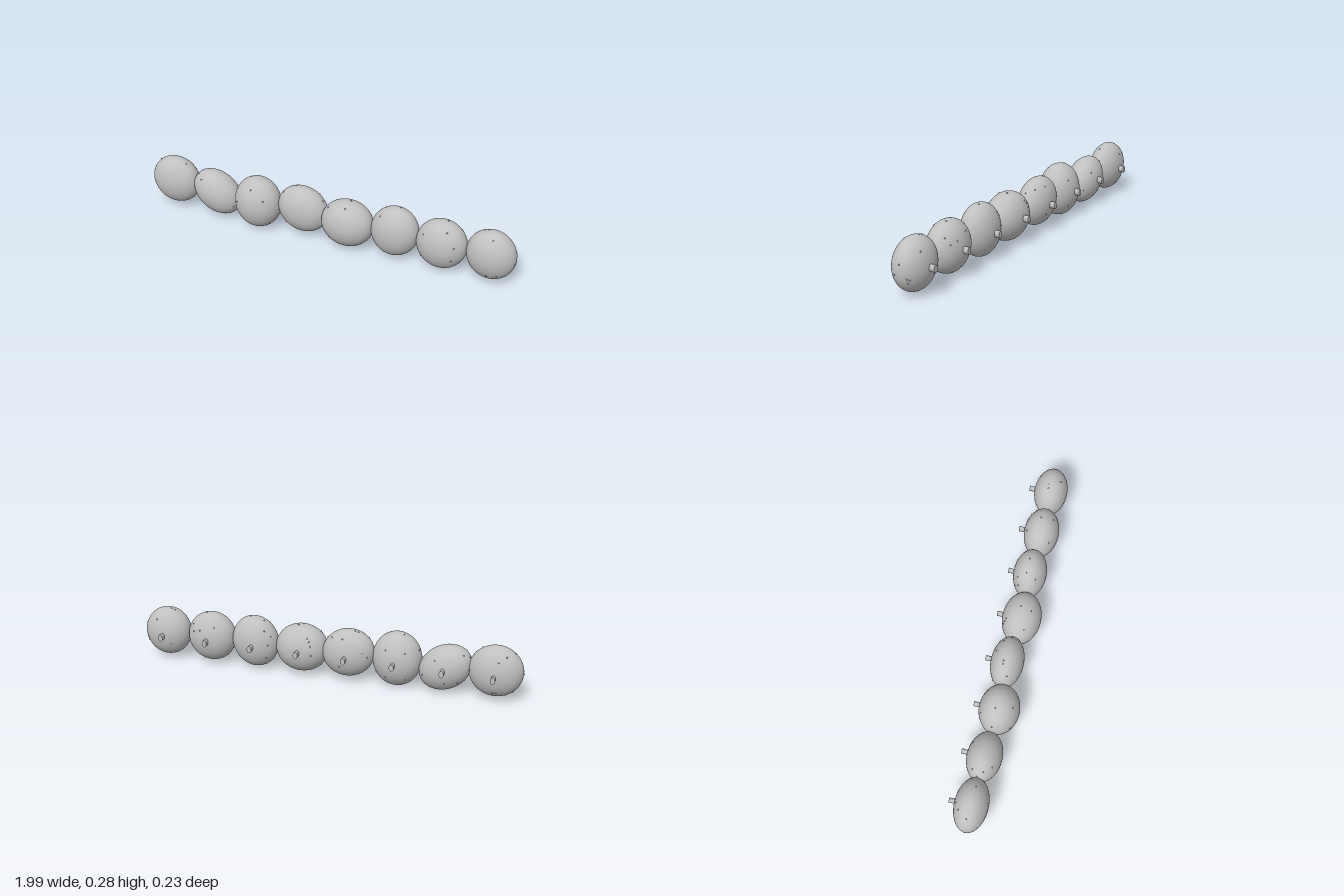
import * as THREE from 'three';

const stoneGrey = new THREE.MeshStandardMaterial({ color: 0xc0c0c0 });
stoneGrey.name = 'stoneGrey';

// Each pebble: centre x, y, half sizes a, b, tilt in degrees, front z, bumps seen from the front [x, y]
const BACK = -0.088;
const PEBBLES = [
  [-0.861, 0.152, 0.134, 0.131, 0, 0.078, [[-0.95, 0.253], [-0.79, 0.262], [-0.995, 0.15], [-0.95, 0.06]]],
  [-0.613, 0.136, 0.140, 0.110, -34, 0.086, [[-0.676, 0.22], [-0.71, 0.23], [-0.63, 0.027], [-0.5, 0.09]]],
  [-0.367, 0.144, 0.125, 0.141, 0, 0.115, [[-0.372, 0.246], [-0.302, 0.198], [-0.452, 0.16], [-0.286, 0.053]]],
  [-0.120, 0.152, 0.136, 0.124, -20, 0.078, [[-0.195, 0.08], [-0.01, 0.22], [-0.22, 0.235]]],
  [0.131, 0.141, 0.137, 0.125, 0, 0.110, [[0.04, 0.225], [0.136, 0.251], [0.243, 0.059], [0.2, 0.05]]],
  [0.379, 0.150, 0.123, 0.136, -10, 0.083, [[0.313, 0.241], [0.437, 0.05], [0.28, 0.06]]],
  [0.623, 0.146, 0.128, 0.131, 0, 0.094, [[0.543, 0.209], [0.532, 0.07], [0.703, 0.176], [0.693, 0.102], [0.66, 0.246]]],
  [0.870, 0.148, 0.123, 0.130, 12, 0.086, [[0.757, 0.134], [0.88, 0.257], [0.869, 0.064], [0.917, 0.07], [0.99, 0.13]]],
];

// Small seeded generator for the bumps on the rims and rear faces
let seed = 7;
const rand = () => (seed = (seed * 16807) % 2147483647) / 2147483647;

export function createModel() {
  const model = new THREE.Group();
  const ball = new THREE.SphereGeometry(1, 64, 40);
  const bumpGeo = new THREE.SphereGeometry(0.0038, 8, 6);
  // Oval peg, slightly wider at its free end
  const pegGeo = new THREE.CylinderGeometry(0.016, 0.019, 0.055, 16).rotateX(Math.PI / 2).scale(0.65, 1, 1);

  const add = (parent, geo, name, x, y, z) => {
    const mesh = new THREE.Mesh(geo, stoneGrey);
    mesh.name = name;
    mesh.position.set(x, y, z);
    parent.add(mesh);
    return mesh;
  };

  PEBBLES.forEach(([x, y, a, b, deg, front, bumps], i) => {
    const unit = new THREE.Group();
    unit.name = 'pebbleUnit' + (i + 1);
    model.add(unit);

    // Flattened, tilted pebble
    const depth = (front - BACK) / 2, cz = (front + BACK) / 2;
    const tilt = THREE.MathUtils.degToRad(deg);
    const pebble = add(unit, ball, 'pebble', x, y, cz);
    pebble.scale.set(a, b, depth);
    pebble.rotation.z = tilt;

    // Tiny surface bumps, projected onto the pebble
    const c = Math.cos(tilt), s = Math.sin(tilt);
    const addBump = (u, v, side) => {
      const k = 1 / Math.max(1, Math.hypot(u, v));
      u *= k;
      v *= k;
      const w = Math.sqrt(Math.max(0, 1 - u * u - v * v)) * side;
      add(unit, bumpGeo, 'bump', x + a * u * c - b * v * s, y + a * u * s + b * v * c, cz + depth * w);
    };
    for (const [px, py] of bumps) {
      const dx = px - x, dy = py - y;
      addBump((dx * c + dy * s) / a, (dy * c - dx * s) / b, 1);
    }
    for (let n = 0; n < 8; n++) {
      const angle = rand() * Math.PI * 2;
      const r = n < 5 ? 0.45 + 0.5 * rand() : 0.995;
      addBump(r * Math.cos(angle), r * Math.sin(angle), -1);
    }

    // Mounting peg on the back
    add(unit, pegGeo, 'mountingPeg', (i - 3.5) * 0.247 + 0.004, 0.144, -0.088);
  });

  return model;
}
